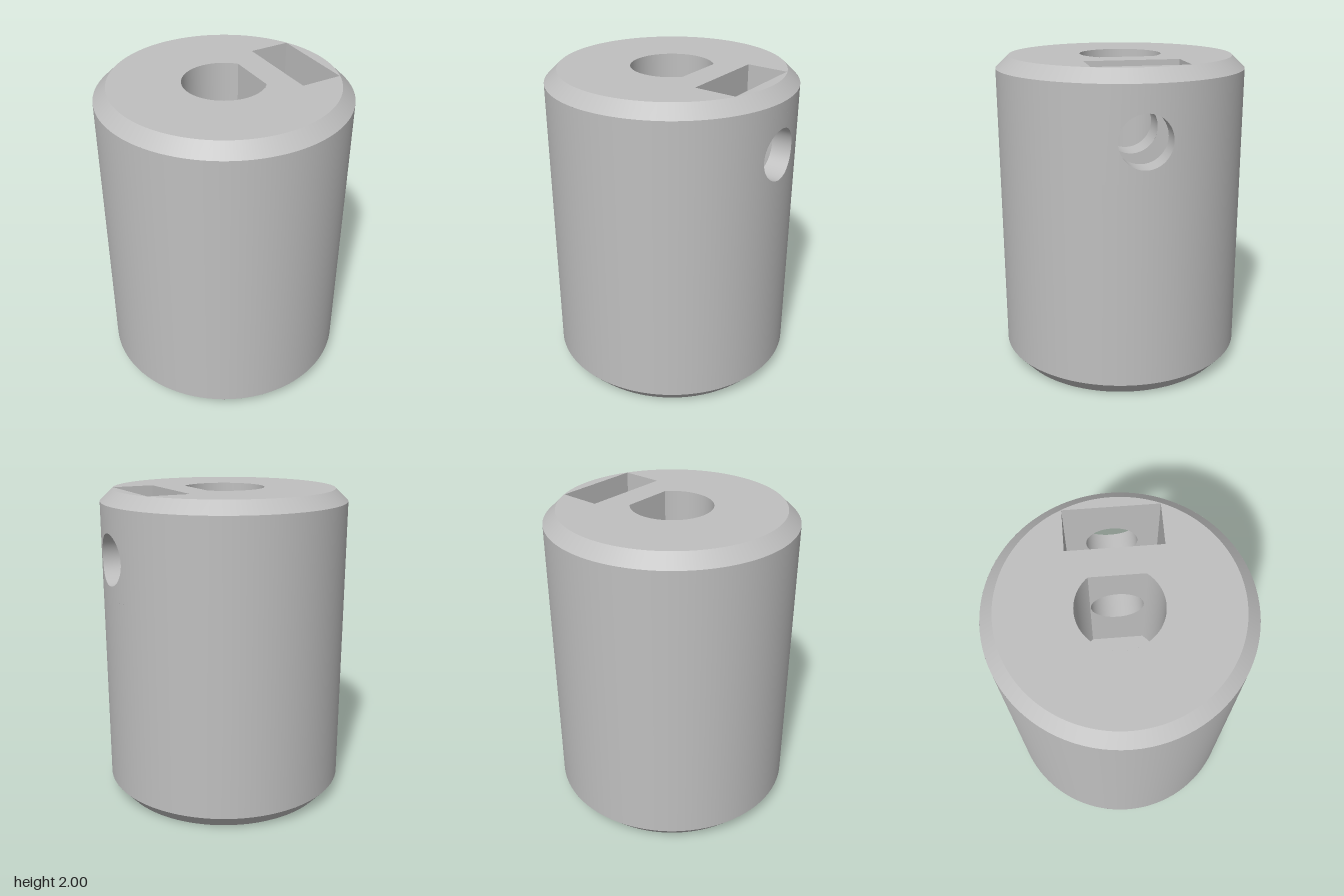
import * as THREE from 'three';

const PI = Math.PI, SEG = 96;
const R = 0.78, CAP = 0.7, LOW = 0.09, HIGH = 1.923, TOP = 2;   // body
const BORE = 0.255, FLAT = 0.195, BORE_FLOOR = 1.1;             // upper D-shaped bore
const SOCKET = 0.27, HALF = 0.19, SOCKET_TOP = 0.9;             // lower double-flat socket
const X0 = 0.37, X1 = 0.635, ZP = 0.287, POCKET_FLOOR = 1.3;    // nut pocket
const HOLE = 0.16, HOLE_Y = 1.6;                                // radial screw hole
const PATCH_A = 0.35, PATCH_H = 0.24;                           // wall patch round the hole

export function createModel() {
  const group = new THREE.Group();
  const steel = new THREE.MeshStandardMaterial({ color: 0xbfbfbf, side: THREE.DoubleSide });
  steel.name = 'grey';
  const add = (name, geo, x = 0, y = 0, z = 0) => {
    const mesh = new THREE.Mesh(geo, steel);
    mesh.name = name;
    mesh.position.set(x, y, z);
    group.add(mesh);
  };

  // Turns a surface inside out, for walls seen from within
  const inward = (geo) => {
    const idx = geo.index.array, n = geo.attributes.normal.array;
    for (let i = 0; i < idx.length; i += 3) [idx[i], idx[i + 1]] = [idx[i + 1], idx[i]];
    for (let i = 0; i < n.length; i++) n[i] = -n[i];
    return geo;
  };

  // Open cylinder wall between two heights
  const wall = (rTop, rBottom, y0, y1, start = 0, length = 2 * PI) =>
    new THREE.CylinderGeometry(rTop, rBottom, y1 - y0, Math.ceil(SEG * length / (2 * PI)), 1, true, start, length)
      .translate(0, (y0 + y1) / 2, 0);

  // Surface through rows of points; normalOf gives the smooth normal
  const loft = (rows, normalOf) => {
    const pos = [], nor = [], idx = [], n = rows[0].length;
    rows.forEach((row, i) => row.forEach((p, j) => {
      pos.push(p.x, p.y, p.z);
      nor.push(...normalOf(p));
      if (i && j) {
        const d = i * n + j, c = d - 1, b = d - n, a = b - 1;
        idx.push(a, b, c, b, d, c);
      }
    }));
    const geo = new THREE.BufferGeometry();
    geo.setAttribute('position', new THREE.Float32BufferAttribute(pos, 3));
    geo.setAttribute('normal', new THREE.Float32BufferAttribute(nor, 3));
    geo.setIndex(idx);
    return geo;
  };

  // Outlines
  const outline = (type, x0, x1, y0, y1) => new type(
    [[x0, y0], [x1, y0], [x1, y1], [x0, y1]].map(([x, y]) => new THREE.Vector2(x, y)));
  const circle = (type, r, y = 0) => new type().absarc(0, y, r, 0, 2 * PI, false);
  const a = Math.acos(FLAT / BORE), b = Math.asin(HALF / SOCKET);
  const dBore = (type) => new type().absarc(0, 0, BORE, a, 2 * PI - a, false).closePath();
  const doubleD = (type) => new type().absarc(0, 0, SOCKET, -b, b, false)
    .absarc(0, 0, SOCKET, PI - b, PI + b, false).closePath();
  const flat = (shape) => new THREE.ShapeGeometry(shape, SEG);

  // Body: chamfers and side wall, leaving a window for the hole patch
  const yLo = HOLE_Y - PATCH_H, yHi = HOLE_Y + PATCH_H;
  add('topChamfer', wall(CAP, R, HIGH, TOP));
  add('bottomChamfer', wall(R, CAP, 0, LOW));
  add('sideWall', wall(R, R, LOW, HIGH, PI / 2 + PATCH_A, 2 * PI - 2 * PATCH_A));
  add('wallBelowHole', wall(R, R, LOW, yLo, PI / 2 - PATCH_A, 2 * PATCH_A));
  add('wallAboveHole', wall(R, R, yHi, HIGH, PI / 2 - PATCH_A, 2 * PATCH_A));

  // Patch blending from the round hole to a curved rectangle
  const angles = Array.from({ length: 65 }, (_, i) => i / 64 * 2 * PI);
  const patchRow = (k) => angles.map((t) => {
    const c = Math.cos(t), s = Math.sin(t), m = Math.max(Math.abs(c), Math.abs(s));
    const phi = THREE.MathUtils.lerp(Math.asin(HOLE * c / R), PATCH_A * c / m, k);
    const y = THREE.MathUtils.lerp(HOLE * s, PATCH_H * s / m, k);
    return new THREE.Vector3(R * Math.cos(phi), HOLE_Y + y, R * Math.sin(phi));
  });
  add('wallAroundHole', loft([0, 0.25, 0.5, 0.75, 1].map(patchRow), (p) => [p.x / R, 0, p.z / R]));

  // Screw hole: from the outside to the pocket, then on to the bore
  const ring = (x) => angles.map((t) =>
    new THREE.Vector3(x, HOLE_Y + HOLE * Math.sin(t), HOLE * Math.cos(t)));
  const holeNormal = (p) => [0, (HOLE_Y - p.y) / HOLE, -p.z / HOLE];
  add('outerScrewHole', loft([ring(X1), patchRow(0)], holeNormal));
  add('innerScrewHole', loft([ring(FLAT), ring(X0)], holeNormal));

  // End faces
  const topShape = circle(THREE.Shape, CAP);
  topShape.holes.push(dBore(THREE.Path), outline(THREE.Path, X0, X1, -ZP, ZP));
  add('topFace', flat(topShape).rotateX(-PI / 2), 0, TOP);
  const bottomShape = circle(THREE.Shape, CAP);
  bottomShape.holes.push(doubleD(THREE.Path));
  add('bottomFace', flat(bottomShape).rotateX(PI / 2));

  // Upright wall pierced by the screw hole
  const pierced = (halfWidth, y0) => {
    const shape = outline(THREE.Shape, -halfWidth, halfWidth, y0, TOP);
    shape.holes.push(circle(THREE.Path, HOLE, HOLE_Y));
    return flat(shape);
  };

  // Upper bore
  add('boreWall', inward(wall(BORE, BORE, BORE_FLOOR, TOP, PI / 2 + a, 2 * PI - 2 * a)));
  add('boreFlat', pierced(BORE * Math.sin(a), BORE_FLOOR).rotateY(-PI / 2), FLAT);
  add('boreFloor', flat(dBore(THREE.Shape)).rotateX(-PI / 2), 0, BORE_FLOOR);

  // Nut pocket
  add('pocketInnerWall', pierced(ZP, POCKET_FLOOR).rotateY(PI / 2), X0);
  add('pocketOuterWall', pierced(ZP, POCKET_FLOOR).rotateY(-PI / 2), X1);
  add('pocketFloor', new THREE.PlaneGeometry(X1 - X0, 2 * ZP).rotateX(-PI / 2), (X0 + X1) / 2, POCKET_FLOOR);
  for (const s of [-1, 1]) {
    add('pocketEndWall', new THREE.PlaneGeometry(X1 - X0, TOP - POCKET_FLOOR).rotateY(s > 0 ? PI : 0),
      (X0 + X1) / 2, (TOP + POCKET_FLOOR) / 2, s * ZP);
    // Lower socket
    add('socketRoundWall', inward(wall(SOCKET, SOCKET, 0, SOCKET_TOP, s * PI / 2 - b, 2 * b)));
    add('socketFlat', new THREE.PlaneGeometry(2 * SOCKET * Math.cos(b), SOCKET_TOP).rotateY(s > 0 ? PI : 0),
      0, SOCKET_TOP / 2, s * HALF);
  }
  add('socketEnd', flat(doubleD(THREE.Shape)).rotateX(PI / 2), 0, SOCKET_TOP);
  return group;
}
